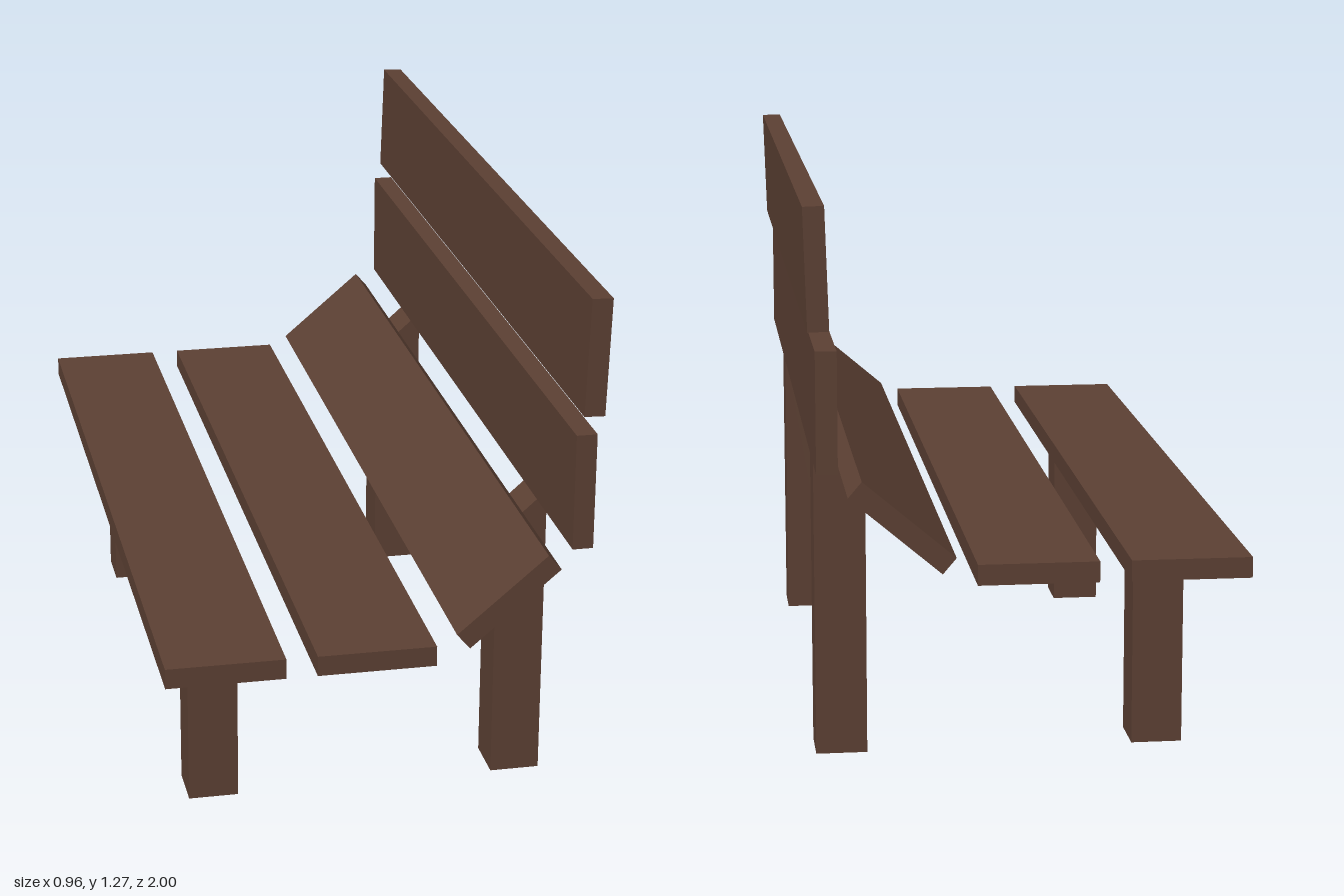
import * as THREE from 'three';

const wood = new THREE.MeshStandardMaterial({ color: 0x5c4033, flatShading: true });

export function createModel() {
  const bench = new THREE.Group();
  bench.name = 'bench';

  const add = (name, geometry, x, y, z, tilt = 0) => {
    const mesh = new THREE.Mesh(geometry, wood);
    mesh.name = name;
    mesh.position.set(x, y, z);
    mesh.rotation.z = tilt;
    bench.add(mesh);
  };

  // Five equal planks: two flat, one sloping, two upright
  const plank = new THREE.BoxGeometry(0.264, 0.046, 1.99);
  add('frontSeatPlank', plank, -0.351, 0.477, 0.005);
  add('middleSeatPlank', plank, -0.018, 0.477, 0.005);
  add('slopedSeatPlank', plank, 0.276, 0.587, -0.005, 0.705);
  add('lowerBackPlank', plank, 0.434, 0.837, 0.005, Math.PI / 2);
  add('upperBackPlank', plank, 0.453, 1.142, 0.005, Math.PI / 2 - 0.03);

  // Rear legs have a top cut along the sloped plank
  const legWidth = 0.115;
  const rearProfile = new THREE.Shape([
    new THREE.Vector2(0.333, 0),
    new THREE.Vector2(0.448, 0),
    new THREE.Vector2(0.448, 0.705),
    new THREE.Vector2(0.333, 0.603),
  ]);
  const rearLeg = new THREE.ExtrudeGeometry(rearProfile, { depth: legWidth, bevelEnabled: false });
  rearLeg.translate(0, 0, -legWidth / 2);
  const frontLeg = new THREE.BoxGeometry(legWidth, 0.448, legWidth);

  for (const [side, z] of [['Left', 0.608], ['Right', -0.653]]) {
    add('frontLeg' + side, frontLeg, -0.327, 0.224, z);
    add('rearLeg' + side, rearLeg, 0, 0, z);
  }
  return bench;
}
